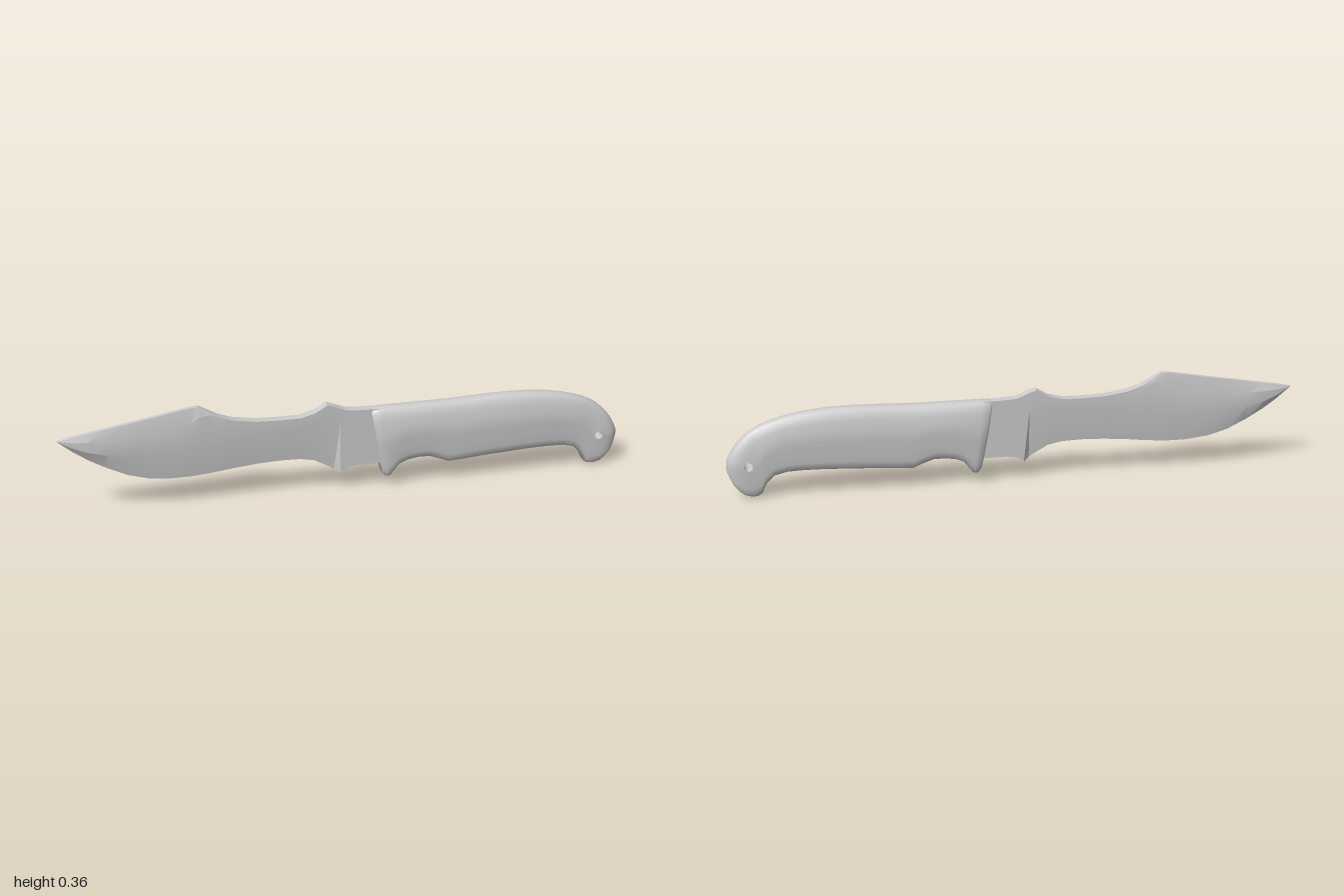
import * as THREE from 'three';
import { toCreasedNormals } from 'three/addons/utils/BufferGeometryUtils.js';

const material = new THREE.MeshStandardMaterial({ color: 0xcccccc });

// Skin a row of closed rings running along +x, capping both ends.
function loft(rings, crease, skip = () => false) {
  const n = rings[0].length, last = rings.length - 1;
  const positions = rings.flat(2), index = [];
  const id = (i, j) => i * n + (j % n);
  for (let i = 0; i < last; i++) {
    for (let j = 0; j < n; j++) {
      if (skip(i, j)) continue;
      index.push(id(i, j), id(i + 1, j), id(i + 1, j + 1));
      index.push(id(i, j), id(i + 1, j + 1), id(i, j + 1));
    }
  }
  for (const i of [0, last]) {
    const centre = positions.length / 3;
    for (let a = 0; a < 3; a++) positions.push(rings[i].reduce((s, p) => s + p[a], 0) / n);
    for (let j = 0; j < n; j++) {
      if (i === 0) index.push(centre, id(i, j), id(i, j + 1));
      else index.push(centre, id(i, j + 1), id(i, j));
    }
  }
  const geometry = new THREE.BufferGeometry();
  geometry.setAttribute('position', new THREE.Float32BufferAttribute(positions, 3));
  geometry.setIndex(index);
  return toCreasedNormals(geometry, crease);
}

// Front half of a section (bottom to top) plus its mirror image behind.
const mirrored = (half) => [...half, ...half.map(([x, y, z]) => [x, y, -z]).reverse()];

function part(name, geometry) {
  const mesh = new THREE.Mesh(geometry, material);
  mesh.name = name;
  return mesh;
}

// Blade: x, edge y, grind line y, swedge line y, spine y, spine half width, body half width
function makeBlade() {
  const stations = [
    [-1, 0.279, 0.28, 0.281, 0.282, 0.001, 0.002],
    [-0.95, 0.238, 0.255, 0.274, 0.291, 0.007, 0.013],
    [-0.9, 0.203, 0.235, 0.272, 0.299, 0.008, 0.018],
    [-0.84, 0.168, 0.22, 0.271, 0.309, 0.008, 0.018],
    [-0.77, 0.134, 0.211, 0.272, 0.321, 0.008, 0.018],
    [-0.7, 0.114, 0.207, 0.276, 0.332, 0.008, 0.018],
    [-0.62, 0.105, 0.206, 0.285, 0.346, 0.008, 0.018],
    [-0.55, 0.105, 0.208, 0.305, 0.358, 0.008, 0.018],
    [-0.52, 0.107, 0.21, 0.326, 0.359, 0.009, 0.018],
    [-0.49, 0.11, 0.213, 0.329, 0.341, 0.014, 0.018],
    [-0.45, 0.114, 0.219, 0.311, 0.318, 0.017, 0.018],
    [-0.4, 0.12, 0.227, 0.296, 0.301, 0.018, 0.018],
    [-0.32, 0.127, 0.238, 0.284, 0.289, 0.018, 0.018],
    [-0.24, 0.13, 0.246, 0.281, 0.286, 0.018, 0.018],
    [-0.17, 0.128, 0.25, 0.282, 0.287, 0.018, 0.018],
    [-0.12, 0.118, 0.254, 0.294, 0.299, 0.018, 0.018],
    [-0.075, 0.094, 0.262, 0.32, 0.325, 0.018, 0.018],
    [-0.05, 0.078, 0.255, 0.312, 0.317, 0.018, 0.018],
  ];
  return loft(stations.map(([x, edge, grind, swedge, spine, zs, zb]) => mirrored([
    [x, edge, Math.min(0.003, zb)], [x, grind, zb], [x, swedge, zb], [x, spine, zs],
  ])), 0.3);
}

// Full-thickness block between blade and handle: x, bottom y, top y, bottom half width
function makeRicasso() {
  const stations = [
    [-0.05, 0.078, 0.317, 0.003], [-0.03, 0.066, 0.308, 0.018], [-0.005, 0.083, 0.299, 0.018],
    [0.03, 0.089, 0.296, 0.018], [0.12, 0.089, 0.293, 0.018],
  ];
  return loft(stations.map(([x, bottom, top, z]) => mirrored([
    [x, bottom, z], [x, 0.255, 0.018], [x, top, 0.018],
  ])), 0.4);
}

const HOLE = { x: 0.922, y: 0.118, r: 0.016 };

// Handle: top x, top y, bottom x, bottom y, half width
function makeHandle() {
  const stations = [
    [0.08, 0.288, 0.122, 0.05, 0.036],
    [0.087, 0.295, 0.135, 0.036, 0.044],
    [0.115, 0.297, 0.148, 0.038, 0.046],
    [0.15, 0.297, 0.162, 0.056, 0.047],
    [0.18, 0.297, 0.18, 0.079, 0.047],
    [0.21, 0.297, 0.21, 0.092, 0.047],
    [0.25, 0.297, 0.25, 0.098, 0.047],
    [0.29, 0.297, 0.29, 0.097, 0.047],
    [0.33, 0.297, 0.33, 0.083, 0.047],
    [0.36, 0.297, 0.36, 0.07, 0.047],
    [0.42, 0.299, 0.42, 0.073, 0.047],
    [0.5, 0.302, 0.5, 0.079, 0.047],
    [0.58, 0.303, 0.58, 0.083, 0.047],
    [0.66, 0.3, 0.66, 0.087, 0.046],
    [0.73, 0.293, 0.73, 0.088, 0.045],
    [0.79, 0.282, 0.79, 0.086, 0.043],
    [0.84, 0.268, 0.835, 0.075, 0.042],
    [0.87, 0.257, 0.862, 0.048, 0.041],
    [0.89, 0.248, 0.88, 0.012, 0.04],
    [0.906, 0.239, 0.895, 0.004, 0.04],
    [0.922, 0.228, 0.913, 0.003, 0.04],
    [0.941, 0.212, 0.936, 0.01, 0.04],
    [0.957, 0.195, 0.956, 0.025, 0.038],
    [0.973, 0.174, 0.973, 0.046, 0.034],
    [0.987, 0.15, 0.987, 0.076, 0.026],
    [0.996, 0.13, 0.996, 0.1, 0.015],
  ];
  // Section: height fraction, width fraction
  const section = [
    [0, 0.35], [0.02, 0.62], [0.06, 0.8], [0.15, 0.87], [0.28, 0.92], [0.42, 0.97], [0.5, 0.99],
    [0.58, 1], [0.7, 0.93], [0.82, 0.82], [0.92, 0.68], [0.97, 0.5], [1, 0.25],
  ];
  const holeStation = 20, middle = 6;
  const rings = stations.map(([xt, yt, xb, yb, w], i) => mirrored(section.map(([t, f], k) => {
    const di = i - holeStation, dk = k - middle;
    // Vertices around the lanyard hole sit on its rim
    if (Math.abs(di) <= 1 && Math.abs(dk) <= 1) {
      const a = Math.atan2(dk, di);
      return [HOLE.x + HOLE.r * Math.cos(a), HOLE.y + HOLE.r * Math.sin(a), w * 0.98];
    }
    return [xb + (xt - xb) * t, yb + (yt - yb) * t, w * f];
  })));
  const holeRows = [5, 6, 18, 19];
  return loft(rings, 0.9, (i, j) =>
    (i === holeStation - 1 || i === holeStation) && holeRows.includes(j));
}

// Inner wall of the lanyard hole
function makeHoleWall() {
  const wall = new THREE.CylinderGeometry(HOLE.r, HOLE.r, 0.0784, 8, 1, true);
  wall.rotateY(Math.PI / 2).rotateX(Math.PI / 2).translate(HOLE.x, HOLE.y, 0);
  const mesh = part('lanyardHole', wall);
  mesh.material = material.clone();
  mesh.material.side = THREE.DoubleSide;
  return mesh;
}

export function createModel() {
  const group = new THREE.Group();
  group.name = 'knife';
  group.add(
    part('blade', makeBlade()),
    part('ricasso', makeRicasso()),
    part('handle', makeHandle()),
    makeHoleWall(),
  );
  return group;
}
